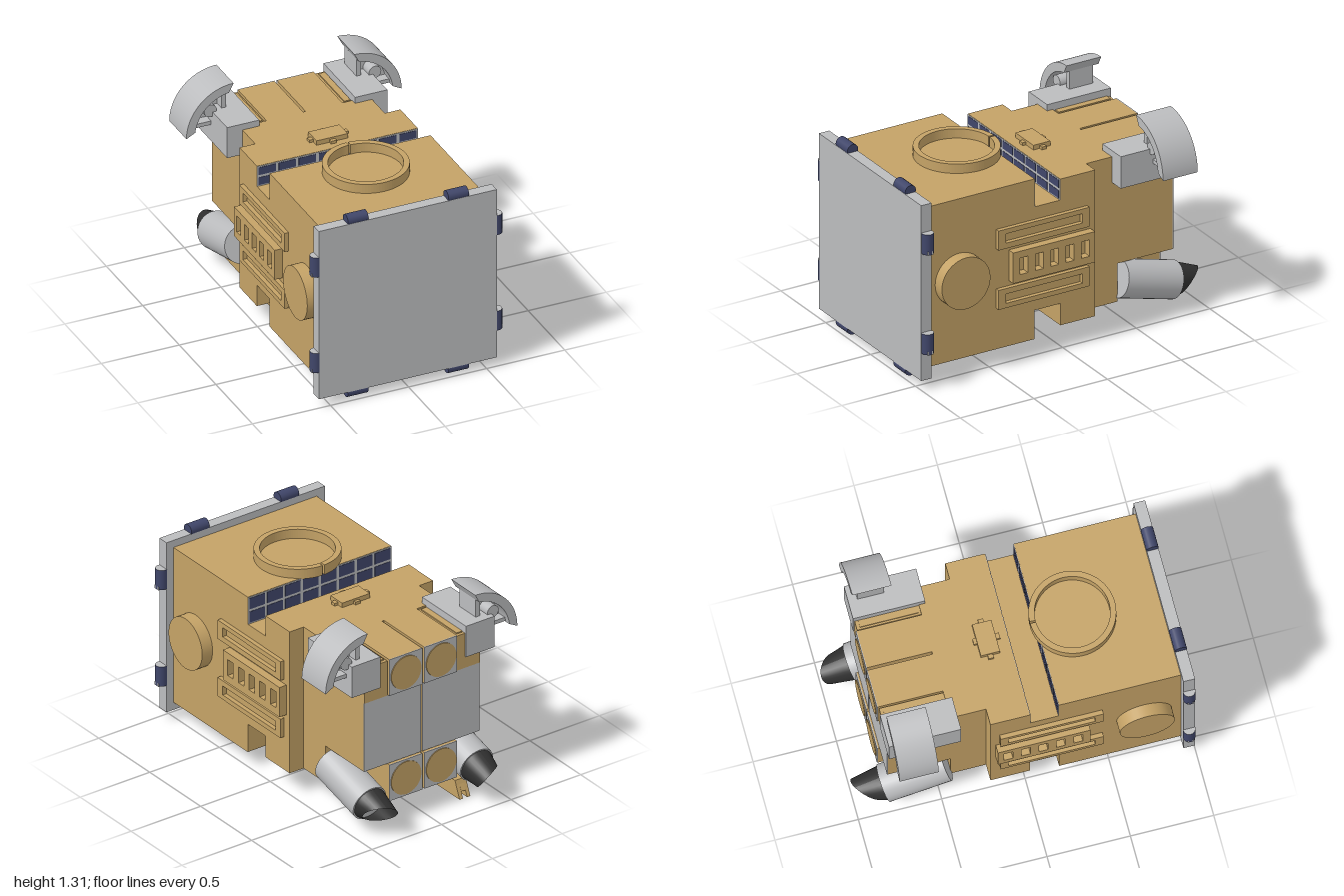
import * as THREE from 'three';

const mat = (name, color, side = THREE.FrontSide) => {
  const m = new THREE.MeshStandardMaterial({ color, side });
  m.name = name;
  return m;
};

export function createModel() {
  const root = new THREE.Group();
  root.name = 'spaceModule';
  const tan = mat('tan', 0xc4a266);
  const grey = mat('lightGrey', 0xbbbcbe);
  const navy = mat('navy', 0x40466a);
  const black = mat('black', 0x303030, THREE.DoubleSide);
  const MID = 0.625; // height of the hull axis

  const add = (name, geo, m, parent = root) => {
    const mesh = new THREE.Mesh(geo, m);
    mesh.name = name;
    parent.add(mesh);
    return mesh;
  };
  // box given by its limits on each axis
  const box = (name, m, x0, x1, y0, y1, z0, z1, parent = root) => {
    const mesh = add(name, new THREE.BoxGeometry(x1 - x0, y1 - y0, z1 - z0), m, parent);
    mesh.position.set((x0 + x1) / 2, (y0 + y1) / 2, (z0 + z1) / 2);
    return mesh;
  };
  const rect = (T, u0, u1, v0, v1) => {
    const p = new T();
    p.moveTo(u0, v0); p.lineTo(u1, v0); p.lineTo(u1, v1); p.lineTo(u0, v1); p.closePath();
    return p;
  };
  const extrude = (shape, depth, curveSegments = 24) =>
    new THREE.ExtrudeGeometry(shape, { depth, bevelEnabled: false, curveSegments });

  // hull, with a groove across the top and the bottom
  box('frontHull', tan, -0.515, 0.515, 0.11, 1.14, 0.2, 0.935);
  box('hullNeck', tan, -0.515, 0.515, 0.295, 0.96, 0.02, 0.21);
  box('middleHull', tan, -0.515, 0.515, 0.155, 1.095, -0.212, 0.025);
  box('rearHull', tan, -0.415, 0.415, 0.155, 1.095, -0.425, -0.21);

  // front plate
  box('frontPlate', grey, -0.575, 0.565, 0.06, 1.187, 0.93, 1.0);

  // clips round the edge of the plate
  const clip = new THREE.CylinderGeometry(0.037, 0.037, 0.13, 16);
  for (const s of [-1, 1]) for (const t of [-1, 1]) {
    const a = add('edgeClip', clip, navy);
    a.rotation.z = Math.PI / 2;
    a.position.set(s * 0.322, MID + t * 0.574, 0.964);
    const b = add('sideClip', clip, [navy, grey, grey]);
    b.position.set(s * 0.576, MID + t * 0.321, 0.964);
    box('sideClipCap', grey, s * 0.576 - 0.035, s * 0.576 + 0.035,
      MID + t * 0.321 - 0.068, MID + t * 0.321 - 0.045, 0.945, 0.983);
  }

  // tiled strips on both walls of the top groove
  const tiles = (z, dir, y1) => {
    const y0 = 0.96, w = 1.03 / 8, h = (y1 - y0) / 2;
    box('tileStrip', grey, -0.515, 0.515, y0, y1, z - 0.002, z + 0.002);
    for (let i = 0; i < 8; i++) for (let j = 0; j < 2; j++) {
      const x = -0.515 + i * w, y = y0 + j * h, zc = z + dir * 0.002;
      box('tile', navy, x + 0.009, x + w - 0.009, y + 0.008, y + h - 0.008, zc - 0.002, zc + 0.002);
    }
  };
  tiles(0.199, -1, 1.138);
  tiles(0.026, 1, 1.093);

  // docking rings with a small slit
  const d = 0.025, start = Math.PI / 2 + d, end = Math.PI * 2.5 - d;
  const ring = new THREE.Shape();
  ring.absarc(0, 0, 0.255, start, end, false);
  ring.absarc(0, 0, 0.22, end, start, true);
  ring.closePath();
  const ringGeo = extrude(ring, 0.065, 48);
  for (const y of [1.135, 0.05]) {
    const r = add('dockingRing', ringGeo, tan);
    r.rotation.x = -Math.PI / 2;
    r.position.set(0, y, 0.415);
  }

  // small hatches on top and bottom
  for (const t of [-1, 1]) {
    const y = MID + t * 0.47;
    const lim = (k) => [Math.min(y - t * 0.01, y + t * k), Math.max(y - t * 0.01, y + t * k)];
    box('hatch', tan, -0.1, 0.1, ...lim(0.03), -0.16, -0.045);
    box('hatchTabs', tan, -0.125, 0.125, ...lim(0.018), -0.12, -0.088);
    box('hatchTabs', tan, -0.018, 0.018, ...lim(0.018), -0.18, -0.022);
  }

  // side discs and recessed side panels
  for (const s of [-1, 1]) {
    const disc = add('sideDisc', new THREE.CylinderGeometry(0.165, 0.165, 0.08, 40), tan);
    disc.rotation.z = Math.PI / 2;
    disc.position.set(s * 0.55, MID, 0.71);
    const panel = (name, z0, z1, y0, y1, holes, depth) => {
      const flip = (a, b) => [Math.min(-s * a, -s * b), Math.max(-s * a, -s * b)];
      const shape = rect(THREE.Shape, ...flip(z0, z1), y0, y1);
      for (const [a, b, c, e] of holes) shape.holes.push(rect(THREE.Path, ...flip(a, b), c, e));
      const p = add(name, extrude(shape, depth + 0.005), tan);
      p.rotation.y = s * Math.PI / 2;
      p.position.x = s * 0.51;
    };
    panel('upperSidePanel', -0.157, 0.46, 0.755, 0.88, [[-0.11, 0.41, 0.79, 0.85]], 0.027);
    panel('lowerSidePanel', -0.157, 0.46, 0.373, 0.498, [[-0.11, 0.41, 0.403, 0.463]], 0.027);
    const slots = [0.302, 0.197, 0.093, -0.012, -0.117].map((z) => [z - 0.027, z + 0.027, 0.577, 0.683]);
    panel('ventPanel', -0.18, 0.375, 0.53, 0.727, slots, 0.05);
  }

  // rear blocks: wide grey-backed middle, narrow disc-backed top and bottom
  const endDisc = new THREE.CylinderGeometry(0.108, 0.108, 0.012, 32);
  for (const s of [-1, 1]) {
    const sx = (a, b) => (s > 0 ? [a, b] : [-b, -a]);
    box('rearBlock', tan, ...sx(0.006, 0.415), 0.4, 0.855, -0.8, -0.42);
    box('rearBlockPanel', grey, ...sx(0.006, 0.415), 0.4, 0.855, -0.806, -0.799);
    for (const y of [0.155, 0.855]) {
      box('engineBlock', tan, ...sx(0.008, 0.243), y, y + 0.24, -0.815, -0.42);
      box('engineBackPlate', grey, ...sx(0.008, 0.243), y, y + 0.24, -0.821, -0.814);
      const e = add('engineDisc', endDisc, tan);
      e.rotation.x = Math.PI / 2;
      e.position.set(s * 0.126, y + 0.12, -0.821);
    }
    box('blockFlank', tan, ...sx(0.25, 0.312), 0.855, 1.085, -0.81, -0.42);
    box('blockFlankRib', tan, ...sx(0.262, 0.302), 1.08, 1.093, -0.79, -0.44);
    box('podShelf', tan, ...sx(0.3, 0.415), 0.855, 0.935, -0.81, -0.42);
    box('pod', grey, ...sx(0.307, 0.513), 0.93, 1.135, -0.82, -0.387);
  }

  // curved fenders over the pods
  const shell = new THREE.Shape();
  shell.moveTo(0.3, 0);
  shell.absarc(0, 0, 0.302, 0, Math.PI / 2, false);
  shell.lineTo(0.03, 0.245);
  shell.absarc(0, 0, 0.247, 1.45, 0.12, true);
  shell.closePath();
  const web = new THREE.Shape();
  web.moveTo(0.03, 0.035);
  web.lineTo(0.245, 0.035);
  web.absarc(0, 0, 0.25, 0.14, 1.43, false);
  web.lineTo(0.03, 0.035);
  for (const s of [-1, 1]) {
    const f = new THREE.Group();
    f.name = 'fender';
    f.position.set(s * 0.387, 1.005, -0.685);
    f.rotation.y = s > 0 ? 0 : Math.PI;
    root.add(f);
    add('fenderShell', extrude(shell, 0.235, 32), grey, f).position.z = -0.1175;
    add('fenderWeb', extrude(web, 0.04), grey, f).position.z = -0.02;
    box('fenderUpright', grey, 0.03, 0.06, 0.035, 0.245, -0.08, 0.08, f);
    box('fenderFloor', grey, 0.03, 0.245, 0.035, 0.06, -0.08, 0.08, f);
    const rod = add('fenderRod', new THREE.CylinderGeometry(0.04, 0.04, 0.2, 20), grey, f);
    rod.rotation.x = Math.PI / 2;
    rod.position.set(0.14, 0.14, 0);
  }

  // slanted exhaust tubes with obliquely cut black nozzles
  for (const s of [-1, 1]) {
    const g = new THREE.Group();
    g.name = 'exhaust';
    g.position.set(s * 0.385, 0.287, -0.446);
    g.rotation.x = -Math.PI / 2 - 0.262; // local y runs backward and down
    root.add(g);
    add('exhaustTube', new THREE.CylinderGeometry(0.116, 0.116, 0.385, 32), grey, g).position.y = 0.1925;
    const geo = new THREE.CylinderGeometry(0.085, 0.108, 1, 32, 4, true);
    const p = geo.attributes.position;
    for (let i = 0; i < p.count; i++) {
      const k = p.getY(i) + 0.5;
      const r = Math.hypot(p.getX(i), p.getZ(i));
      // longest on the inner upper side, shortest on the outer lower side
      const inner = (-s * p.getX(i) + p.getZ(i)) / (r * Math.SQRT2);
      p.setY(i, k * (0.115 + 0.065 * inner));
    }
    geo.computeVertexNormals();
    add('exhaustNozzle', geo, black, g).position.y = 0.38;
  }

  // channelled rail below the hull, cut at a slant behind
  const railPart = (name, x0, x1, y0) => {
    const sh = new THREE.Shape();
    sh.moveTo(-0.915, y0); sh.lineTo(0.825 - y0 * 0.4, y0);
    sh.lineTo(0.79, 0.08); sh.lineTo(0.78, 0.108); sh.lineTo(-0.915, 0.108);
    sh.closePath();
    const m = add(name, extrude(sh, x1 - x0), tan);
    m.rotation.y = Math.PI / 2;
    m.position.x = x0;
  };
  railPart('railWall', -0.335, -0.312, 0);
  railPart('railWall', -0.282, -0.258, 0);
  railPart('railBase', -0.312, -0.282, 0.04);

  return root;
}
